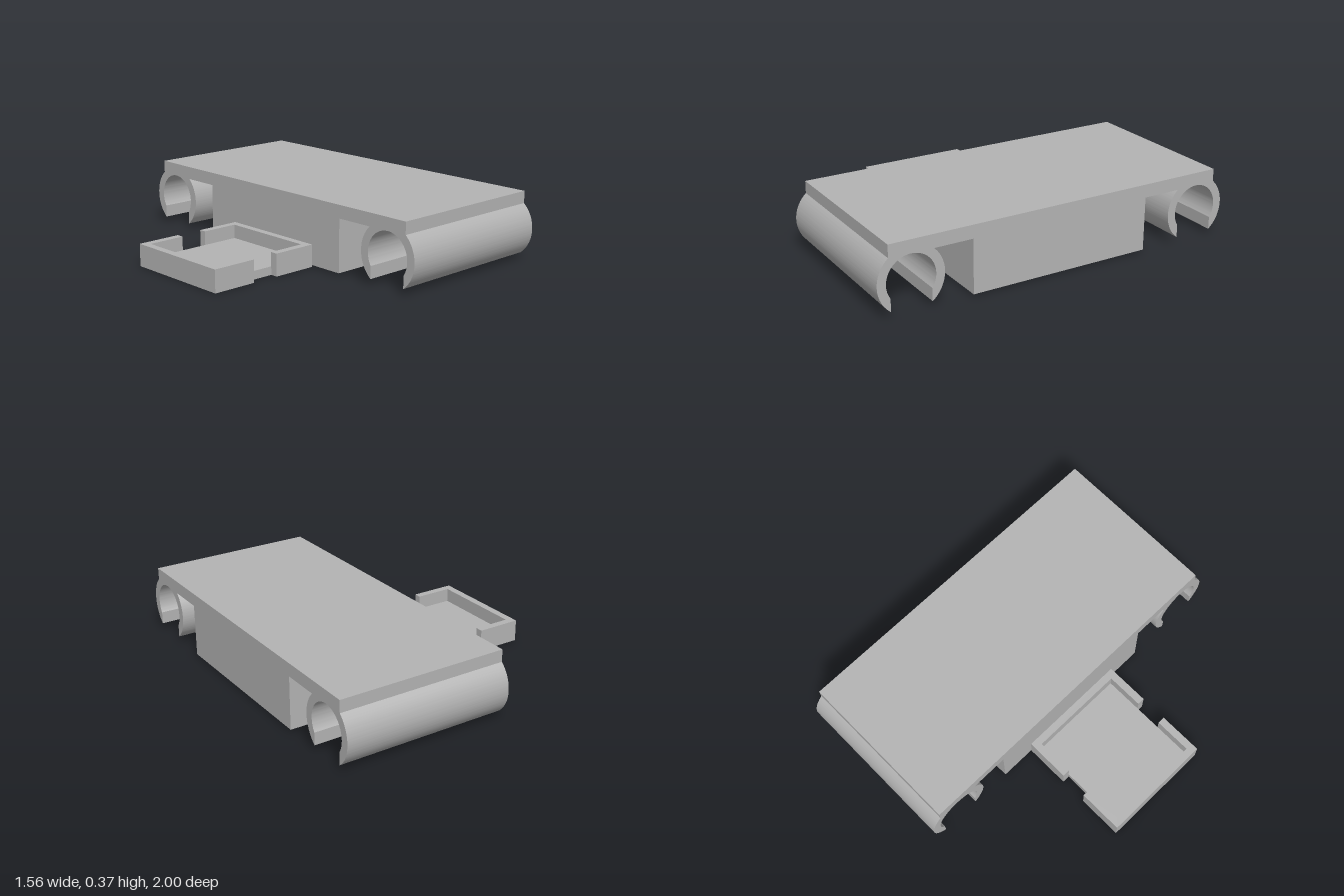
import * as THREE from 'three';
import { toCreasedNormals } from 'three/addons/utils/BufferGeometryUtils.js';

const grey = new THREE.MeshStandardMaterial({ color: 0xb3b3b3 });
grey.name = 'grey plastic';

const polygon = (points) => new THREE.Shape(points.map(([x, y]) => new THREE.Vector2(x, y)));
const rectangle = (x0, x1, halfZ) => [[x0, -halfZ], [x1, -halfZ], [x1, halfZ], [x0, halfZ]];

function part(name, geometry) {
  const mesh = new THREE.Mesh(geometry, grey);
  mesh.name = name;
  return mesh;
}

// Raise a floor-plan shape from y0 to y1
function raise(name, shape, y0, y1) {
  const geometry = new THREE.ExtrudeGeometry(shape, { depth: y1 - y0, bevelEnabled: false });
  geometry.rotateX(-Math.PI / 2).translate(0, y0, 0);
  return part(name, geometry);
}

const X0 = -0.14, X1 = 0.78;      // body ends
const TOP = 0.365, UNDER = 0.295; // plate faces

// Top plate and both open clips share one cross-section
function plateWithClips() {
  const outer = 0.174, inner = 0.128, gap = 0.107, cz = 0.826, cy = 0.168;
  const outerTip = Math.acos(gap / outer), innerTip = Math.acos(gap / inner);
  const edge = Math.acos((0.94 - cz) / outer);             // joins the plate's end
  const web = Math.PI - Math.asin((UNDER - cy) / outer);   // joins the plate's underside
  const s = new THREE.Shape();
  const clip = (z, start, end) => {
    s.absarc(z, cy, outer, start, -outerTip, true);
    s.absarc(z, cy, inner, -innerTip, Math.PI + innerTip, false);
    s.absarc(z, cy, outer, Math.PI + outerTip, end, true);
  };
  s.moveTo(-0.94, TOP);
  s.lineTo(0.94, TOP);
  clip(cz, edge, web);
  clip(-cz, Math.PI - web, Math.PI - edge);
  s.closePath();
  const geometry = new THREE.ExtrudeGeometry(s, { depth: X1 - X0, bevelEnabled: false, curveSegments: 36 });
  geometry.rotateY(Math.PI / 2).translate(X0, 0, 0);
  return part('plateWithClips', toCreasedNormals(geometry, 0.5));
}

// Hollow block, open underneath
function hollowBlock() {
  const wall = 0.045;
  const shape = polygon(rectangle(X0, X1, 0.5));
  shape.holes.push(polygon(rectangle(X0 + wall, X1 - wall, 0.5 - wall)));
  return raise('hollowBlock', shape, 0.01, UNDER);
}

// Side tray with a notch in the middle of each long wall
function sideTray() {
  const tray = new THREE.Group();
  tray.name = 'sideTray';
  const a = -0.78, b = X0, n0 = -0.535, n1 = -0.385, out = 0.305, wall = 0.04, ins = out - wall;
  const floor = polygon([
    [a, -out], [n0, -out], [n0, -ins], [n1, -ins], [n1, -out], [b, -out],
    [b, out], [n1, out], [n1, ins], [n0, ins], [n0, out], [a, out],
  ]);
  tray.add(raise('trayFloor', floor, 0, 0.045));
  for (const [name, end, notch, dir] of [['trayOuterWall', a, n0, 1], ['trayInnerWall', b, n1, -1]]) {
    const e = end + dir * wall;
    const wallShape = polygon([
      [end, -out], [notch, -out], [notch, -ins], [e, -ins],
      [e, ins], [notch, ins], [notch, out], [end, out],
    ]);
    tray.add(raise(name, wallShape, 0.045, 0.12));
  }
  return tray;
}

export function createModel() {
  const model = new THREE.Group();
  model.name = 'clipOnHolder';
  model.add(plateWithClips(), hollowBlock(), sideTray());
  return model;
}
